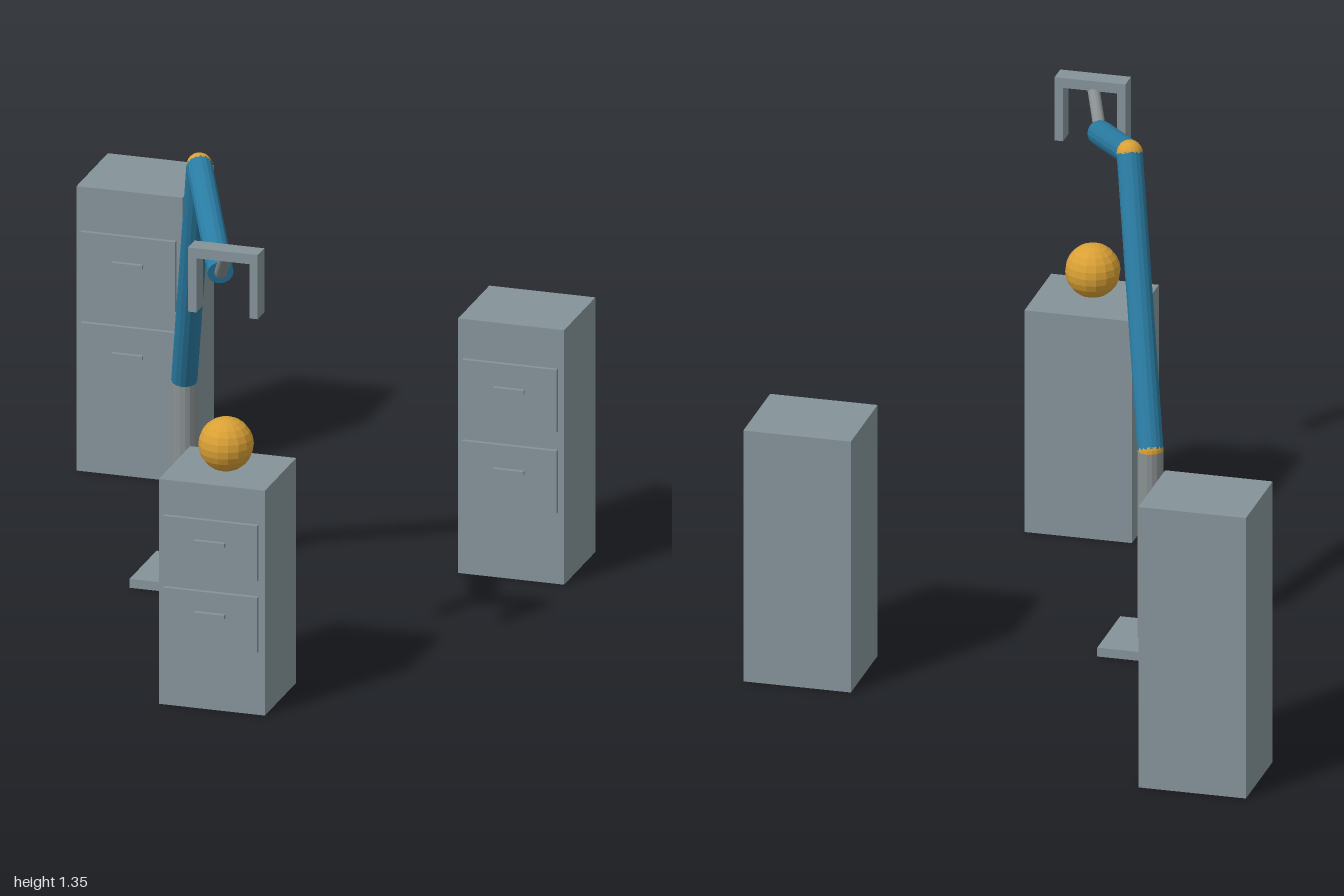
import * as THREE from 'three';

const material = (name, color, flatShading = false) => {
  const m = new THREE.MeshStandardMaterial({ color, flatShading });
  m.name = name;
  return m;
};

export function createModel() {
  const steel = material('steel grey', 0x85949a);
  const pole = material('pole grey', 0x8a9092, true);
  const blue = material('arm blue', 0x2a7ca3, true);
  const amber = material('amber', 0xd9a035, true);

  const add = (parent, name, geometry, mat, x, y, z) => {
    const mesh = new THREE.Mesh(geometry, mat);
    mesh.name = name;
    mesh.position.set(x, y, z);
    parent.add(mesh);
    return mesh;
  };
  const box = (parent, name, w, h, d, x, y, z) =>
    add(parent, name, new THREE.BoxGeometry(w, h, d), steel, x, y, z);
  // Cylinder running between two points
  const rod = (parent, name, a, b, r, mat) => {
    const dir = b.clone().sub(a);
    const mid = a.clone().add(b).multiplyScalar(0.5);
    const mesh = add(parent, name, new THREE.CylinderGeometry(r, r, dir.length(), 16), mat, mid.x, mid.y, mid.z);
    mesh.quaternion.setFromUnitVectors(new THREE.Vector3(0, 1, 0), dir.normalize());
  };

  const model = new THREE.Group();
  model.name = 'robotArmAndCabinets';

  // Cabinets: drawer heights scale with the cabinet height
  const cabinet = (name, x, height, front) => {
    const g = new THREE.Group();
    g.name = name;
    g.position.set(x, 0, front);
    box(g, 'cabinetBody', 0.304, height, 0.275, 0, height / 2, -0.1375);
    for (const level of [0.406, 0.725]) {
      box(g, 'drawerFront', 0.27, height * 0.246, 0.012, 0, height * level, 0.01);
      box(g, 'drawerHandle', 0.088, 0.012, 0.012, 0, height * (level + 0.025), 0.022);
    }
    model.add(g);
  };
  cabinet('rearCabinet', -0.623, 0.825, -0.725);
  cabinet('sideCabinet', 0.618, 0.738, -0.272);
  cabinet('frontCabinet', 0.166, 0.652, 0.972);

  // Ball on the front cabinet
  add(model, 'ball', new THREE.SphereGeometry(0.076, 16, 12), amber, 0.166, 0.728, 0.847);

  // Arm: base, post, two blue links and a thin wrist
  const arm = new THREE.Group();
  arm.name = 'robotArm';
  model.add(arm);
  const foot = new THREE.Vector3(-0.23, 0.02, 0);
  const shoulder = new THREE.Vector3(-0.23, 0.575, 0);
  const elbow = new THREE.Vector3(-0.089, 1.316, 0.299);
  const wrist = new THREE.Vector3(0.114, 1.18, 0.736);
  const hand = new THREE.Vector3(0.166, 1.275, 0.847);
  box(arm, 'basePlate', 0.236, 0.026, 0.236, -0.23, 0.013, 0);
  rod(arm, 'post', foot, shoulder, 0.036, pole);
  rod(arm, 'upperArm', shoulder, elbow, 0.036, blue);
  rod(arm, 'forearm', elbow, wrist, 0.036, blue);
  rod(arm, 'wristRod', wrist, hand, 0.017, pole);
  for (const [name, p] of [['shoulderJoint', shoulder], ['elbowJoint', elbow]]) {
    add(arm, name, new THREE.SphereGeometry(0.0362, 16, 12), amber, p.x, p.y, p.z);
  }

  // Gripper
  const gripper = new THREE.Group();
  gripper.name = 'gripper';
  gripper.position.set(0.166, 0, 0.847);
  arm.add(gripper);
  box(gripper, 'gripperBar', 0.2, 0.029, 0.058, 0, 1.2815, 0);
  for (const side of [-1, 1]) {
    box(gripper, 'gripperFinger', 0.024, 0.157, 0.058, side * 0.088, 1.1885, 0);
  }

  return model;
}
